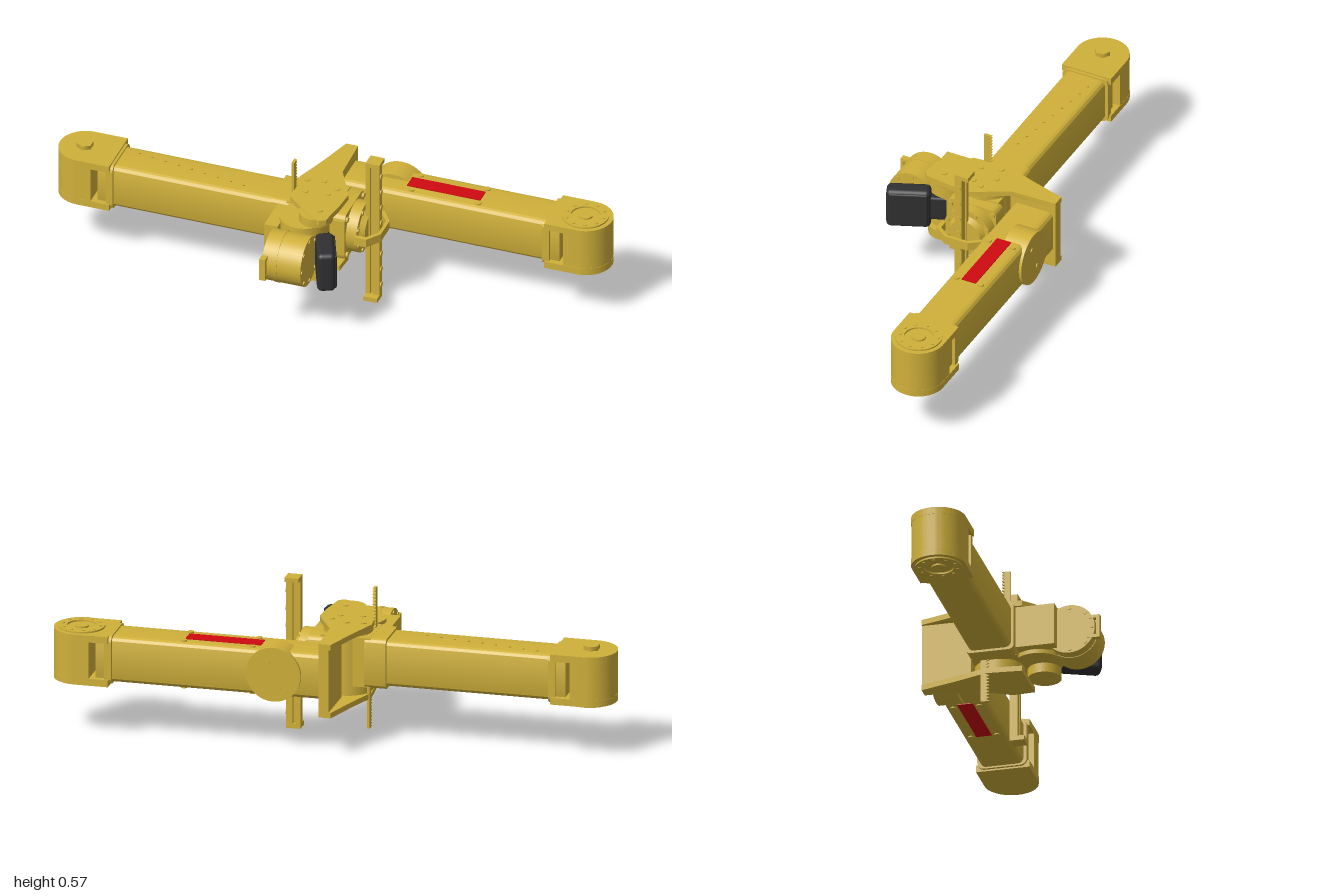
import * as THREE from 'three';
import { toCreasedNormals } from 'three/addons/utils/BufferGeometryUtils.js';
import { RoundedBoxGeometry } from 'three/addons/geometries/RoundedBoxGeometry.js';

const mat = (name, color) => Object.assign(new THREE.MeshStandardMaterial({ color }), { name });
const yellow = mat('machine yellow', 0xd0b03a);
const red = mat('label red', 0xd00a10);
const black = mat('camera black', 0x303032);

function add(parent, name, geo, material = yellow, x = 0, y = 0, z = 0) {
  const m = new THREE.Mesh(geo, material);
  m.name = name;
  m.position.set(x, y, z);
  parent.add(m);
  return m;
}

// Box from its min and max on each axis
function box(parent, name, [x0, x1], [y0, y1], [z0, z1], material = yellow) {
  return add(parent, name, new THREE.BoxGeometry(x1 - x0, y1 - y0, z1 - z0), material,
    (x0 + x1) / 2, (y0 + y1) / 2, (z0 + z1) / 2);
}

// Cylinder running from a to b along one axis; c holds the other two coordinates in x, y, z order
function rod(parent, name, axis, r, [a, b], c, r2 = r, seg = 40) {
  const g = new THREE.CylinderGeometry(r2, r, b - a, seg);
  const mid = (a + b) / 2;
  if (axis === 'x') return add(parent, name, g.rotateZ(-Math.PI / 2), yellow, mid, c[0], c[1]);
  if (axis === 'z') return add(parent, name, g.rotateX(Math.PI / 2), yellow, c[0], c[1], mid);
  return add(parent, name, g, yellow, c[0], mid, c[1]);
}

const extrude = (shape, depth) =>
  toCreasedNormals(new THREE.ExtrudeGeometry(shape, { depth, bevelEnabled: false, curveSegments: 20 }), 0.6);

// Horizontal plate: the shape is drawn in (x, -z) and rises from y0 to y1
const slab = (parent, name, shape, y0, y1) =>
  add(parent, name, extrude(shape, y1 - y0).rotateX(-Math.PI / 2), yellow, 0, y0, 0);

// Upright section: the shape is drawn in (z, y) and runs from x0 to x1
const section = (parent, name, shape, x0, x1) =>
  add(parent, name, extrude(shape, x1 - x0).rotateY(-Math.PI / 2), yellow, x1, 0, 0);

const poly = pts => new THREE.Shape(pts.map(p => new THREE.Vector2(p[0], p[1])));

function roundedRect(w, h, r) {
  const s = new THREE.Shape(), a = w / 2 - r, b = h / 2 - r;
  s.absarc(a, b, r, 0, Math.PI / 2);
  s.absarc(-a, b, r, Math.PI / 2, Math.PI);
  s.absarc(-a, -b, r, Math.PI, Math.PI * 1.5);
  s.absarc(a, -b, r, Math.PI * 1.5, Math.PI * 2);
  s.closePath();
  return s;
}

// D-shaped outline, flat at x0 and round at the far end
function dShape(x0, cx, r) {
  const s = new THREE.Shape();
  s.moveTo(x0, -r);
  s.lineTo(cx, -r);
  s.absarc(cx, 0, r, -Math.PI / 2, Math.PI / 2);
  s.lineTo(x0, r);
  s.closePath();
  return s;
}

// One arm link along +x with its joint housing at the far end
function link(name, start) {
  const g = new THREE.Group();
  g.name = name;
  section(g, 'armTube', roundedRect(0.156, 0.168, 0.022), start, 0.83);
  section(g, 'armCollar', roundedRect(0.18, 0.18, 0.025), 0.77, 0.795);
  slab(g, 'housingTop', dShape(0.78, 0.902, 0.097), 0.065, 0.09);
  slab(g, 'housingBottom', dShape(0.78, 0.902, 0.097), -0.096, -0.07);
  slab(g, 'housingBody', dShape(0.85, 0.902, 0.096), -0.07, 0.065);
  // Bolted output flange
  const ring = new THREE.Shape().absarc(0.9, 0, 0.083, 0, Math.PI * 2);
  ring.holes.push(new THREE.Path().absarc(0.9, 0, 0.052, 0, Math.PI * 2, true));
  slab(g, 'jointRing', ring, 0.088, 0.096);
  rod(g, 'jointHub', 'y', 0.025, [0.088, 0.096], [0.9, 0]);
  for (let i = 0; i < 10; i++) {
    const a = i / 10 * Math.PI * 2;
    rod(g, 'flangeBolt', 'y', 0.006, [0.094, 0.099], [0.9 + 0.068 * Math.cos(a), 0.068 * Math.sin(a)], 0.006, 10);
  }
  return g;
}

export function createModel() {
  const root = new THREE.Group();
  root.name = 'roboticArm';

  // Upper arm on +x, with red labels above and below
  const right = link('upperArm', 0.01);
  right.position.set(0, 0.289, -0.245);
  root.add(right);
  for (const s of [1, -1]) {
    box(right, 'redLabel', [0.24, 0.515], s > 0 ? [0.083, 0.087] : [-0.087, -0.083], [-0.028, 0.028], red);
    for (const x of [0.265, 0.515]) for (const z of [-0.048, 0.048])
      rod(right, 'armScrew', 'y', 0.011, [s * 0.085 - 0.004, s * 0.085 + 0.004], [x, z], 0.011, 12);
  }
  rod(right, 'sideDrum', 'z', 0.1, [-0.088, 0.0], [0.18, 0]);
  for (const s of [-1, 1])
    rod(right, 'drumScrew', 'z', 0.008, [-0.092, -0.086], [0.18 + s * 0.02, s * 0.045], 0.008, 12);

  // Forearm on -x is the same link turned over
  const left = link('forearm', 0.11);
  left.rotation.z = Math.PI;
  left.position.set(0, 0.29, -0.048);
  root.add(left);
  section(left, 'forearmFlange', roundedRect(0.176, 0.185, 0.02), 0.1, 0.178);
  rod(left, 'hexHub', 'y', 0.03, [-0.112, -0.09], [0.905, 0], 0.03, 6);
  for (let i = 0; i < 9; i++)
    rod(left, 'forearmRivet', 'y', 0.005, [-0.088, -0.083], [0.3 + i * 0.052, 0.026 - i * 0.008], 0.005, 8);

  // Elbow bracket: two shaped plates joined by a wall at the back
  const plate = [[-0.03, -0.333], [0.015, -0.333], [0.02, -0.16], [0.09, -0.03], [0.085, 0.05], [0.07, 0.15],
    [0.05, 0.163], [0.02, 0.155], [-0.1, 0.05], [-0.112, -0.08], [-0.07, -0.2]].map(([x, z]) => [x, -z]);
  const lowerPlate = plate.filter(p => p[1] > -0.06);
  slab(root, 'bracketTopPlate', poly(plate), 0.398, 0.418);
  slab(root, 'bracketBottomPlate', poly(lowerPlate), 0.145, 0.165);
  box(root, 'bracketWall', [-0.022, 0.015], [0.15, 0.41], [-0.333, -0.155]);
  rod(root, 'elbowCore', 'y', 0.088, [0.16, 0.4], [-0.02, -0.05]);
  box(root, 'elbowBlock', [-0.12, 0.06], [0.2, 0.383], [-0.13, 0.035]);
  for (const [x, z] of [[-0.08, -0.07], [-0.02, -0.08], [0.04, -0.05], [-0.06, 0.0], [0.02, -0.01], [0.03, 0.1]])
    rod(root, 'bracketBolt', 'y', 0.011, [0.416, 0.421], [x, z], 0.011, 12);

  // Wrist: pivot caps, pivot body and the motor drum lying across it
  rod(root, 'wristCapTop', 'y', 0.06, [0.383, 0.416], [0.016, 0.103]);
  rod(root, 'wristCapBottom', 'y', 0.06, [0.16, 0.195], [0.016, 0.103]);
  rod(root, 'wristPivot', 'y', 0.088, [0.2, 0.383], [-0.03, 0.095]);
  box(root, 'wristSidePlate', [-0.15, -0.1], [0.215, 0.37], [0.04, 0.18]);
  rod(root, 'wristMotor', 'x', 0.092, [-0.11, 0.035], [0.283, 0.225]);
  rod(root, 'wristMotorRim', 'x', 0.094, [-0.07, -0.055], [0.283, 0.225]);
  for (let i = 0; i < 8; i++) {
    const a = i / 8 * Math.PI * 2;
    rod(root, 'motorBolt', 'x', 0.007, [-0.114, 0.039],
      [0.283 + 0.08 * Math.sin(a), 0.225 + 0.08 * Math.cos(a)], 0.007, 10);
  }
  // Loop handle on the motor
  for (const y of [0.24, 0.315]) box(root, 'handleLeg', [-0.112, -0.09], [y, y + 0.012], [0.29, 0.335]);
  box(root, 'handleGrip', [-0.112, -0.09], [0.24, 0.327], [0.322, 0.335]);

  // Camera, angled outward on a neck
  const cam = new THREE.Group();
  cam.name = 'camera';
  cam.position.set(0.09, 0.283, 0.209);
  cam.rotation.y = 0.4;
  root.add(cam);
  add(cam, 'cameraBody', new RoundedBoxGeometry(0.066, 0.155, 0.158, 3, 0.018), black);
  add(cam, 'cameraLensFrame', new RoundedBoxGeometry(0.012, 0.135, 0.138, 2, 0.005), black, 0.031);
  add(cam, 'cameraNeck', new RoundedBoxGeometry(0.04, 0.094, 0.11, 2, 0.008), black, 0, 0, -0.11);

  // Gripper mount and flange
  section(root, 'gripperMount', roundedRect(0.196, 0.188, 0.025), 0.05, 0.105).position.add(new THREE.Vector3(0, 0.284, -0.046));
  rod(root, 'gripperDrum', 'x', 0.093, [0.1, 0.145], [0.283, -0.05]);
  rod(root, 'gripperNeck', 'x', 0.075, [0.14, 0.165], [0.283, -0.05], 0.06);
  for (const y of [0.21, 0.357]) for (const z of [0.036, -0.13])
    rod(root, 'mountBolt', 'x', 0.01, [0.1, 0.113], [y, z], 0.01, 12);
  for (let i = 0; i < 8; i++) {
    const a = (i + 0.5) / 8 * Math.PI * 2;
    rod(root, 'gripperBolt', 'x', 0.008, [0.143, 0.15],
      [0.283 + 0.084 * Math.sin(a), -0.05 + 0.084 * Math.cos(a)], 0.008, 10);
  }
  // Crossbar bent around the finger rails
  slab(root, 'gripperCrossbar', poly([[0.14, 0.142], [0.185, 0.142], [0.222, 0.09], [0.222, 0.0], [0.185, -0.052],
    [0.14, -0.052], [0.14, -0.036], [0.178, -0.036], [0.21, 0.005], [0.21, 0.085], [0.178, 0.126], [0.14, 0.126]]), 0.268, 0.3);

  // Finger rails with inward-facing tips and a row of screws
  box(root, 'railBack', [0.153, 0.17], [0.008, 0.56], [-0.06, -0.03]);
  box(root, 'railFront', [0.181, 0.205], [0.008, 0.56], [-0.059, -0.031]);
  box(root, 'railWeb', [0.168, 0.183], [0.012, 0.55], [-0.05, -0.04]);
  box(root, 'upperFingerTip', [0.153, 0.205], [0.55, 0.566], [-0.083, -0.03]);
  box(root, 'lowerFingerTip', [0.153, 0.205], [0, 0.017], [-0.06, -0.007]);
  for (let i = 0; i < 8; i++)
    rod(root, 'railScrew', 'x', 0.01, [0.2, 0.209], [0.056 + i * 0.065, -0.045], 0.01, 14);

  // Toothed racks, facing each other
  const rack = (name, back, front, y0, y1) => {
    const pts = [[back, y0], [front, y0]], n = Math.round((y1 - y0) / 0.0125), step = (y1 - y0) / n;
    const root1 = front + (back - front) * 0.3;
    for (let i = 0; i < n; i++) {
      const y = y0 + i * step;
      pts.push([front, y + step * 0.25], [root1, y + step * 0.5], [root1, y + step * 0.75], [front, y + step]);
    }
    pts.push([back, y1]);
    section(root, name, poly(pts), -0.11, -0.1);
  };
  rack('upperRack', 0.01, -0.02, 0.3, 0.532);
  rack('lowerRack', -0.098, -0.068, 0.037, 0.27);

  return root;
}
